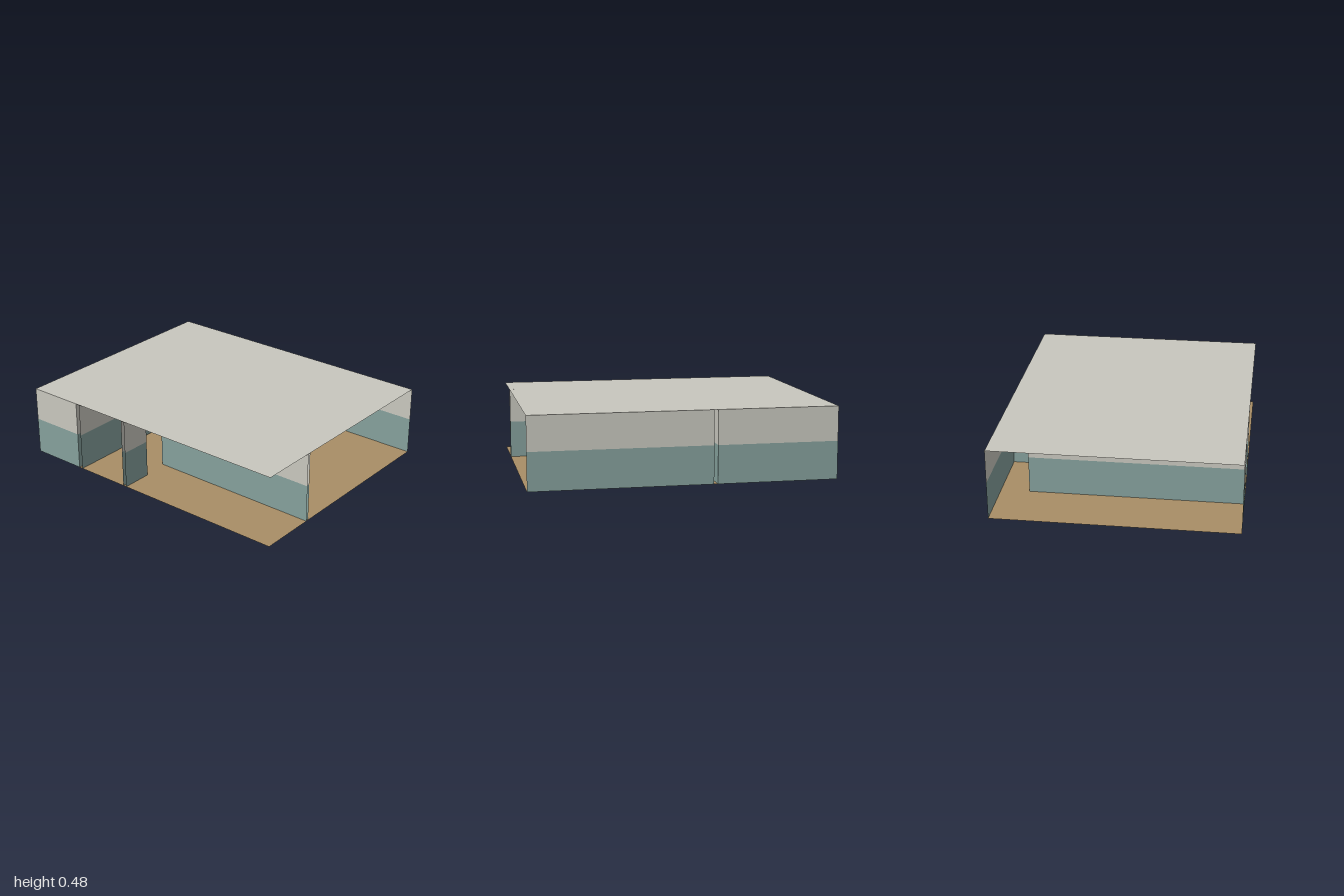
import * as THREE from 'three';

const HEIGHT = 0.477;   // floor to ceiling
const DADO = 0.25;      // top of the painted lower band

export function createModel() {
  const model = new THREE.Group();
  const flat = (name, color) => {
    const m = new THREE.MeshStandardMaterial({ color, side: THREE.DoubleSide });
    m.name = name;
    return m;
  };
  const cream = flat('cream', 0xc8c7be);
  const teal = flat('teal', 0x85a09c);
  const wood = flat('wood', 0xa98e66);

  // Horizontal sheet covering the whole plan
  const slab = (name, y, material, up) => {
    const mesh = new THREE.Mesh(new THREE.PlaneGeometry(1.6, 2), material);
    mesh.rotation.x = up ? -Math.PI / 2 : Math.PI / 2;
    mesh.position.y = y;
    mesh.name = name;
    model.add(mesh);
  };

  // Thin two-tone wall standing between two plan points
  const wall = (name, x0, z0, x1, z1) => {
    const group = new THREE.Group();
    group.name = name;
    const length = Math.hypot(x1 - x0, z1 - z0);
    for (const [part, bottom, top, material] of [
      ['lowerBand', 0, DADO, teal],
      ['upperBand', DADO, HEIGHT, cream],
    ]) {
      const mesh = new THREE.Mesh(new THREE.PlaneGeometry(length, top - bottom), material);
      mesh.position.y = (bottom + top) / 2;
      mesh.name = part;
      group.add(mesh);
    }
    group.position.set((x0 + x1) / 2, 0, (z0 + z1) / 2);
    group.rotation.y = -Math.atan2(z1 - z0, x1 - x0);
    model.add(group);
  };

  slab('floor', 0, wood, true);
  slab('ceiling', HEIGHT, cream, true);

  // Outer walls, with a slit where the cross partition meets the long side
  wall('outerWallFront', 0.8, 1, 0.8, -0.183);
  wall('outerWallBack', 0.8, -0.208, 0.8, -1);
  wall('outerWallCorner', -0.8, -1, -0.8, -0.615);

  // Cross partition: paired skins with a doorway either side of the divider
  for (const z of [-0.183, -0.208]) {
    wall('crossPartitionShort', -0.8, z, -0.59, z);
    wall('crossPartitionLong', -0.213, z, 0.8, z);
  }

  // Front divider between the two front rooms
  for (const x of [-0.412, -0.394]) wall('frontDivider', x, -0.208, x, 1);

  // Rear partition, leaving a doorway beside the outer wall
  for (const z of [-0.615, -0.588]) wall('rearPartition', -0.8, z, 0.61, z);

  return model;
}
